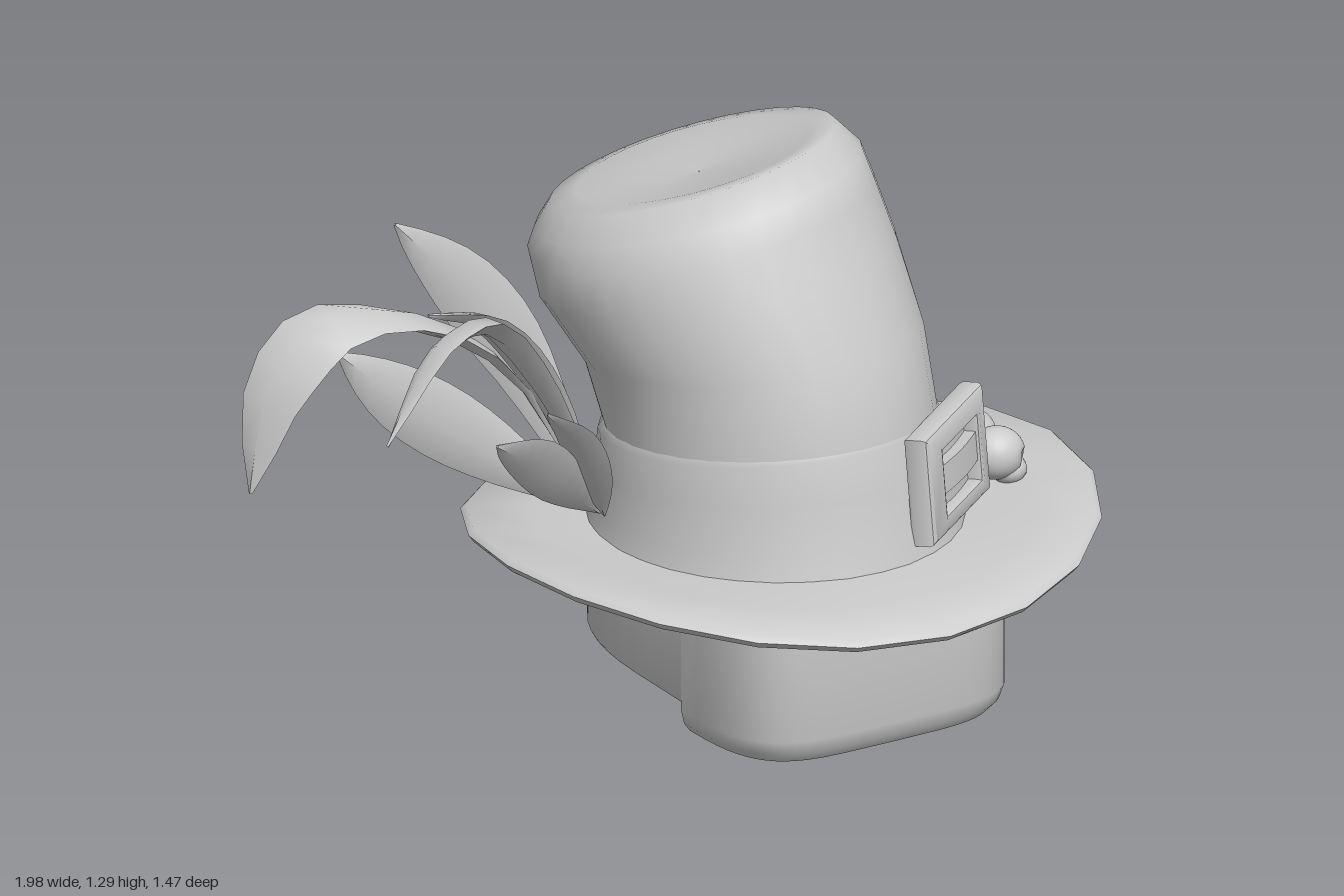
import * as THREE from 'three';
import { toCreasedNormals } from 'three/addons/utils/BufferGeometryUtils.js';

const grey = new THREE.MeshStandardMaterial({ color: 0xcccccc, side: THREE.DoubleSide });

function add(parent, name, geometry) {
  const mesh = new THREE.Mesh(geometry, grey);
  mesh.name = name;
  parent.add(mesh);
  return mesh;
}

// Skin a list of closed rings (arrays of [x, y, z]); wrap joins the last ring to the first.
function loft(rings, wrap = false, crease = 0) {
  const n = rings[0].length, index = [];
  const count = wrap ? rings.length : rings.length - 1;
  for (let j = 0; j < count; j++) {
    const a = j * n, b = ((j + 1) % rings.length) * n;
    for (let i = 0; i < n; i++) {
      const k = (i + 1) % n;
      index.push(a + i, b + i, a + k, b + i, b + k, a + k);
    }
  }
  const g = new THREE.BufferGeometry();
  g.setAttribute('position', new THREE.Float32BufferAttribute(rings.flat(2), 3));
  g.setIndex(index);
  g.computeVertexNormals();
  return crease ? toCreasedNormals(g, crease) : g;
}

// Tilted ellipse: centre, radii, and slopes of y along x and z.
function ellipse([cx, cy, cz, rx, rz, sx = 0, sz = 0], n = 32) {
  return Array.from({ length: n }, (_, i) => {
    const t = (i / n) * Math.PI * 2, x = rx * Math.cos(t), z = rz * Math.sin(t);
    return [cx + x, cy + sx * x + sz * z, cz + z];
  });
}

// Dished brim: sides curl up, front stays level and the back droops.
function brimGeometry() {
  const n = 20;
  const ring = (f, lift) => Array.from({ length: n }, (_, i) => {
    const t = (i / n) * Math.PI * 2, s = Math.sin(t);
    const r = 0.42 + 0.31 * f;
    const inner = 0.348 + 0.015 * s, edge = 0.414 - 0.094 * s * s + 0.025 * s;
    const y = inner + (edge - inner) * Math.max(f, 0);
    return [0.27 + r * Math.cos(t), y + lift, r * s * 1.01];
  });
  return loft([
    ring(-0.42, -0.02), ring(0, -0.02), ring(0.5, -0.02), ring(0.96, -0.015),
    ring(1, 0), ring(0.96, 0.015), ring(0.5, 0.024), ring(0, 0.03), ring(-0.42, 0.03),
  ], true, 1.2);
}

// Head ring under the brim; its front part is thicker and hangs lower, with a step on each side.
function headRingGeometry() {
  const step = 0.104, angles = [];
  for (let i = 0; i <= 28; i++) angles.push([step + (Math.PI - 2 * step) * i / 28, 0]);
  for (let i = 0; i <= 28; i++) angles.push([Math.PI - step + (Math.PI + 2 * step) * i / 28, 0.075]);
  const ring = (inset, height) => angles.map(([t, base]) => {
    const c = Math.cos(t), s = Math.sin(t), p = s > 0 ? 2 / 4.5 : 2 / 2.5;
    const pow = (v) => Math.sign(v) * Math.abs(v) ** p;
    const d = inset(base);
    return [0.255 + (0.385 - d) * pow(c), height(base, s), 0.035 + (0.495 - d) * pow(s)];
  });
  const top = (b, s) => 0.348 + 0.01 * s;
  const wall = (b) => (b ? 0.045 : 0.08);
  const rounding = (front, back) => (b) => (b ? back : front);
  return loft([
    ring(wall, top), ring(wall, (b) => b),
    ring(rounding(0.03, 0.01), (b) => b), ring(rounding(0.01, 0.004), (b) => b + (b ? 0.004 : 0.025)),
    ring(rounding(0, 0), (b) => b + (b ? 0.012 : 0.06)), ring(rounding(0, 0), top),
  ], true, 0.8);
}

// Leaf-like feather along a curve; side is the direction of its width.
function featherGeometry(points, width, side, power) {
  const curve = new THREE.CatmullRomCurve3(points.map((p) => new THREE.Vector3(...p)));
  const rings = [], steps = 12;
  for (let j = 0; j <= steps; j++) {
    const t = j / steps, c = curve.getPoint(t), tan = curve.getTangent(t);
    const u = new THREE.Vector3(...side);
    u.addScaledVector(tan, -tan.dot(u)).normalize();
    const v = u.clone().cross(tan);
    const w = width * 0.5 * Math.max(0.05, Math.max(0, Math.sin(Math.PI * t ** power)) ** 0.8);
    rings.push([[1, 0], [0, 1], [-1, 0], [0, -1]].map(([a, b]) =>
      c.clone().addScaledVector(u, a * w).addScaledVector(v, b * (w * 0.3 + 0.003)).toArray()));
  }
  return loft(rings, false, 1);
}

function rect(Type, x, y, w, h) {
  return new Type([[x, y], [x + w, y], [x + w, y + h], [x, y + h]].map((p) => new THREE.Vector2(...p)));
}

// Rectangular buckle with a raised frame, two slots and a cross bar.
function makeBuckle() {
  const buckle = new THREE.Group();
  buckle.name = 'buckle';
  const shape = rect(THREE.Shape, -0.17, -0.118, 0.34, 0.236);
  shape.holes.push(rect(THREE.Path, -0.12, -0.09, 0.24, 0.18));
  const bevel = { bevelEnabled: true, bevelSize: 0.012, bevelThickness: 0.012, bevelSegments: 2 };
  const bend = (g) => {
    const p = g.attributes.position;
    for (let i = 0; i < p.count; i++) p.setZ(i, p.getZ(i) - 0.6 * p.getX(i) ** 2);
    return toCreasedNormals(g, 0.6);
  };
  add(buckle, 'buckleFrame', bend(new THREE.ExtrudeGeometry(shape, { depth: 0.035, ...bevel })));
  add(buckle, 'buckleBar', bend(new THREE.BoxGeometry(0.25, 0.07, 0.035, 6).translate(0, 0.005, 0.02)));
  add(buckle, 'strapPlate', bend(new THREE.BoxGeometry(0.28, 0.2, 0.02, 6)));
  buckle.position.set(0.527, 0.555, 0.305);
  buckle.rotation.set(-0.08, 0.66, 0, 'YXZ');
  return buckle;
}

// Small skull facing +x, with dented eye sockets.
function makeSkull(z, turn) {
  const skull = new THREE.Group();
  skull.name = 'skull';
  const g = new THREE.SphereGeometry(0.062, 24, 18);
  const p = g.attributes.position, v = new THREE.Vector3();
  for (let i = 0; i < p.count; i++) {
    v.fromBufferAttribute(p, i);
    for (const s of [-1, 1]) {
      const d = v.distanceTo(new THREE.Vector3(0.056, -0.008, s * 0.025));
      if (d < 0.02) v.x -= 0.018 * (1 - d / 0.02) + 0.003;
    }
    p.setXYZ(i, v.x * 1.1, v.y, v.z * 0.98);
  }
  g.computeVertexNormals();
  add(skull, 'cranium', g);
  const jaw = add(skull, 'jaw', new THREE.SphereGeometry(0.048, 14, 10));
  jaw.position.set(0.03, -0.042, 0);
  jaw.scale.set(0.9, 0.75, 0.95);
  skull.position.set(0.766, 0.465, z);
  skull.rotation.y = turn;
  return skull;
}

export function createModel() {
  const hat = new THREE.Group();
  hat.name = 'hat';

  add(hat, 'brim', brimGeometry());
  add(hat, 'headRing', headRingGeometry());

  // Crown leans back and to the right, with a slanted, softly dished top.
  add(hat, 'crown', loft([
    [0.27, 0.36, -0.02, 0.38, 0.42, 0, 0.04],
    [0.26, 0.62, -0.03, 0.37, 0.403, 0, 0.15],
    [0.245, 0.79, -0.08, 0.38, 0.408, 0.03, 0.18],
    [0.197, 0.96, -0.16, 0.407, 0.412, 0.08, 0.19],
    [0.182, 1.07, -0.205, 0.392, 0.405, 0.14, 0.2],
    [0.18, 1.13, -0.213, 0.37, 0.383, 0.17, 0.24],
    [0.18, 1.183, -0.24, 0.328, 0.32, 0.18, 0.27],
    [0.18, 1.19, -0.235, 0.27, 0.265, 0.17, 0.24],
    [0.18, 1.178, -0.22, 0.14, 0.14, 0.15, 0.2],
    [0.18, 1.17, -0.21, 0.001, 0.001],
  ].map((r) => ellipse(r))));

  // Flared hat band around the crown's foot.
  add(hat, 'band', loft([
    [0.27, 0.355, -0.025, 0.428, 0.465, 0, 0.03],
    [0.27, 0.42, -0.028, 0.41, 0.447, 0, 0.07],
    [0.265, 0.52, -0.033, 0.393, 0.428, 0, 0.11],
    [0.26, 0.605, -0.036, 0.38, 0.416, 0, 0.15],
    [0.26, 0.628, -0.036, 0.366, 0.4, 0, 0.15],
  ].map((r) => ellipse(r))));

  hat.add(makeBuckle(), makeSkull(0.125, -0.2), makeSkull(0.005, 0.1));

  // Feather plume on the right side: path, width, width direction, fullness toward the tip.
  const feathers = new THREE.Group();
  feathers.name = 'feathers';
  [
    [[[-0.13, 0.43, -0.17], [-0.32, 0.78, -0.21], [-0.55, 0.95, -0.23], [-0.78, 0.975, -0.26], [-0.91, 0.85, -0.275], [-0.98, 0.61, -0.27]], 0.18, [0.4, -0.15, 0.9], 1.8],
    [[[-0.13, 0.43, -0.18], [-0.27, 0.78, -0.24], [-0.41, 1.0, -0.28], [-0.57, 1.17, -0.31]], 0.17, [0.8, 0.5, 0.3], 1.1],
    [[[-0.13, 0.43, -0.12], [-0.3, 0.78, -0.09], [-0.48, 0.99, -0.06], [-0.62, 0.97, -0.03], [-0.78, 0.78, 0]], 0.11, [0.3, 0.4, 1], 1.1],
    [[[-0.15, 0.43, -0.17], [-0.35, 0.58, -0.26], [-0.53, 0.72, -0.33], [-0.68, 0.85, -0.38]], 0.18, [0.6, 0.7, 0.3], 1.1],
    [[[-0.14, 0.43, -0.12], [-0.28, 0.55, -0.05], [-0.41, 0.68, 0.02], [-0.53, 0.75, 0.07]], 0.14, [0.5, 0.7, 0.5], 1.1],
    [[[-0.14, 0.43, -0.1], [-0.22, 0.58, -0.02], [-0.31, 0.72, 0.05], [-0.42, 0.82, 0.11]], 0.1, [0.6, 0.3, 0.7], 1],
    [[[-0.13, 0.45, -0.15], [-0.26, 0.75, -0.16], [-0.42, 0.95, -0.14], [-0.61, 1.03, -0.1]], 0.11, [0.4, 0.4, 0.8], 1],
  ].forEach(([path, width, side, power]) => add(feathers, 'feather', featherGeometry(path, width, side, power)));
  hat.add(feathers);

  return hat;
}
